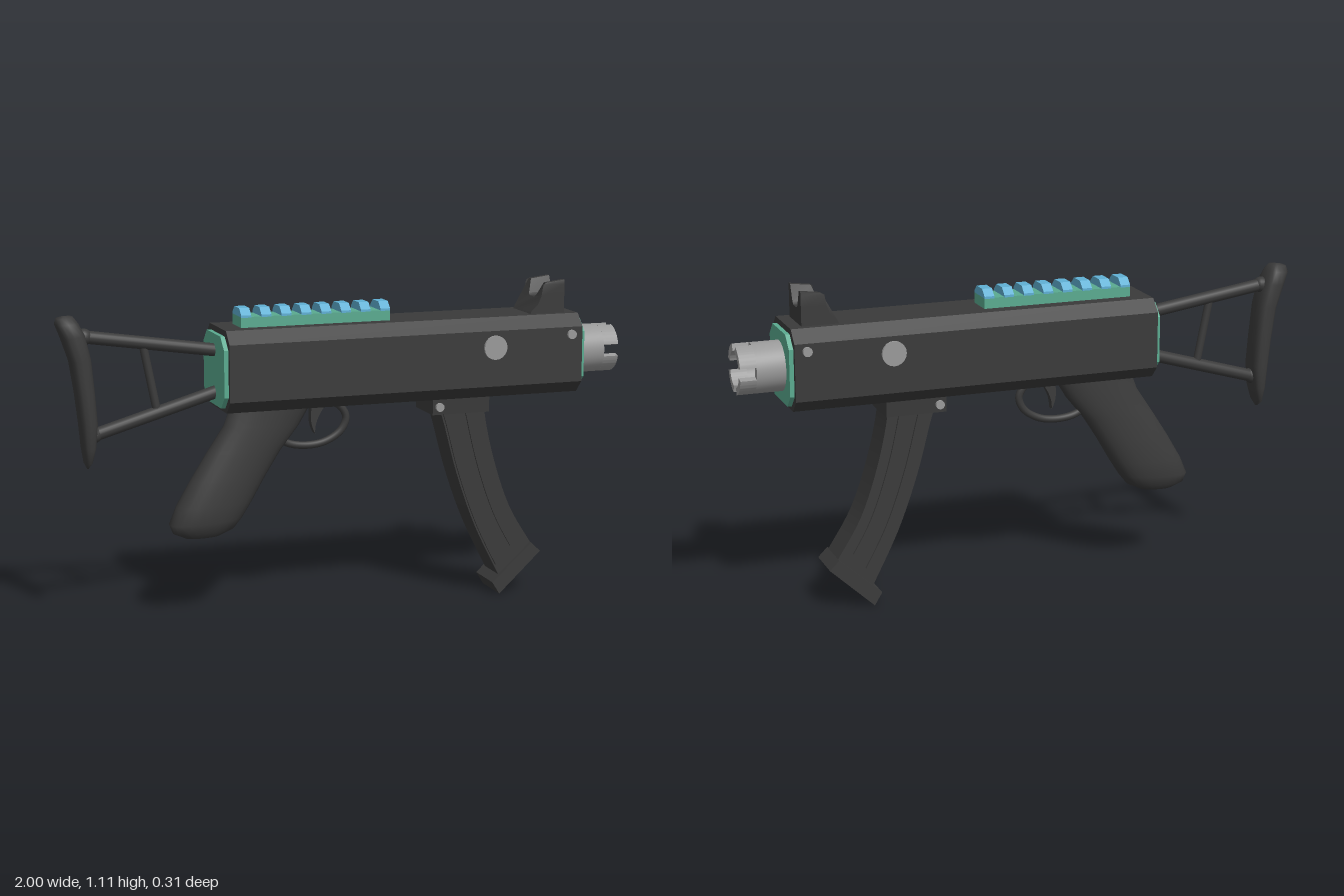
import * as THREE from 'three';
import { toCreasedNormals } from 'three/addons/utils/BufferGeometryUtils.js';

const V2 = (x, y) => new THREE.Vector2(x, y);
const V3 = (x, y, z = 0) => new THREE.Vector3(x, y, z);

export function createModel() {
  const model = new THREE.Group();
  const mat = (name, color) => {
    const m = new THREE.MeshStandardMaterial({ color });
    m.name = name;
    return m;
  };
  const black = mat('charcoal', 0x3a3a3a);
  const green = mat('seaGreen', 0x5aab90);
  const blue = mat('skyBlue', 0x5fb0d4);
  const metal = mat('steel', 0x999999);

  const add = (name, geo, material) => {
    const m = new THREE.Mesh(geo, material);
    m.name = name;
    model.add(m);
    return m;
  };
  const shapeOf = (pts) => new THREE.Shape(pts.map((p) => V2(p[0], p[1])));

  // Extrude a z-y section along x, from x0 to x1
  const alongX = (shape, x0, x1, curveSegments = 12) => {
    const g = new THREE.ExtrudeGeometry(shape, { depth: x1 - x0, bevelEnabled: false, curveSegments });
    return toCreasedNormals(g.rotateY(Math.PI / 2).translate(x0, 0, 0), 0.6);
  };
  // Extrude an x-y profile symmetrically about z = 0
  const acrossZ = (shape, half) => {
    const g = new THREE.ExtrudeGeometry(shape, { depth: 2 * half, bevelEnabled: false });
    return toCreasedNormals(g.translate(0, 0, -half), 0.6);
  };
  // Eight-sided section with cut corners
  const octagon = (w, y0, y1, c) => shapeOf([
    [-w, y0 + c], [-w + c, y0], [w - c, y0], [w, y0 + c],
    [w, y1 - c], [w - c, y1], [-w + c, y1], [-w, y1 - c]]);

  // Smooth body through rings given top to bottom as [leftX, leftY, rightX, rightY, halfDepth]
  const loft = (rings, n = 20, power = 0.85) => {
    const pos = [], idx = [];
    const pw = (v) => Math.sign(v) * Math.abs(v) ** power;
    rings.forEach(([lx, ly, rx, ry, hz], r) => {
      for (let i = 0; i < n; i++) {
        const a = (i / n) * Math.PI * 2, c = pw(Math.cos(a));
        pos.push((lx + rx) / 2 + c * (rx - lx) / 2, (ly + ry) / 2 + c * (ry - ly) / 2, hz * pw(Math.sin(a)));
        if (r === rings.length - 1) continue;
        const p = r * n + i, q = r * n + (i + 1) % n;
        idx.push(p, q, p + n, q, q + n, p + n);
      }
    });
    const g = new THREE.BufferGeometry();
    g.setAttribute('position', new THREE.Float32BufferAttribute(pos, 3));
    g.setIndex(idx);
    g.computeVertexNormals();
    return g;
  };

  // Straight round rod between two points
  const rod = (name, a, b, r, material = black) => {
    const m = add(name, new THREE.CylinderGeometry(r, r, a.distanceTo(b), 20), material);
    m.position.copy(a).add(b).multiplyScalar(0.5);
    m.quaternion.setFromUnitVectors(V3(0, 1, 0), b.clone().sub(a).normalize());
  };

  // Receiver and end plates
  add('receiver', alongX(octagon(0.14, 0.722, 1.0, 0.042), -0.447, 0.832), black);
  add('rearPlate', alongX(octagon(0.125, 0.737, 0.98, 0.042), -0.462, -0.447), green);
  add('frontPlate', alongX(octagon(0.125, 0.737, 0.98, 0.042), 0.832, 0.847), green);

  // Hollow muzzle with four slots at its tip
  const ring = new THREE.Shape().absarc(0, 0.857, 0.085, 0, Math.PI * 2);
  ring.holes.push(new THREE.Path().absarc(0, 0.857, 0.061, 0, Math.PI * 2, true));
  add('muzzle', alongX(ring, 0.84, 0.945, 20), metal);
  for (let k = 0; k < 4; k++) {
    const a0 = k * Math.PI / 2 + 0.25, a1 = (k + 1) * Math.PI / 2 - 0.25;
    const prong = new THREE.Shape();
    prong.absarc(0, 0.857, 0.085, a0, a1, false);
    prong.absarc(0, 0.857, 0.061, a1, a0, true);
    add('muzzleProng', alongX(prong, 0.945, 1.0, 10), metal);
  }

  // Top rail with chamfered teeth
  add('railBase', new THREE.BoxGeometry(0.53, 0.036, 0.1).translate(-0.115, 1.018, 0), green);
  for (let i = 0; i < 8; i++) {
    const x = -0.38 + i * 0.0707;
    add('railTooth', alongX(shapeOf([[-0.052, 1.034], [0.052, 1.034], [0.052, 1.042],
      [0.028, 1.064], [-0.028, 1.064], [-0.052, 1.042]]), x, x + 0.035), blue);
  }

  // Notched sight whose back face sweeps forward with height
  const half = [[0.075, 0.995], [0.075, 1.012], [0.075, 1.03], [0.075, 1.06], [0.075, 1.1], [0.073, 1.115],
    [0.055, 1.115], [0.031, 1.06], [0.02, 1.052]];
  const mirrored = half.map(([z, y]) => [-z, y]).reverse();
  const sight = new THREE.ExtrudeGeometry(shapeOf([...half, ...mirrored]), { depth: 1, bevelEnabled: false });
  sight.rotateY(Math.PI / 2);
  const sp = sight.attributes.position;
  const sweep = [[0.995, 0.66], [1.012, 0.668], [1.03, 0.69], [1.06, 0.703], [1.1, 0.71], [1.116, 0.79]];
  for (let i = 0; i < sp.count; i++) {
    const y = sp.getY(i);
    let k = 0;
    while (k < 4 && y > sweep[k + 1][0]) k++;
    const t = (y - sweep[k][0]) / (sweep[k + 1][0] - sweep[k][0]);
    const back = Math.min(0.72, THREE.MathUtils.lerp(sweep[k][1], sweep[k + 1][1], t));
    const tip = y > 1.11 && sp.getX(i) < 0.5 ? -0.009 : 0;
    sp.setXYZ(i, sp.getX(i) < 0.5 ? back : 0.79, y + tip, sp.getZ(i));
  }
  add('sight', toCreasedNormals(sight, 0.5), black);

  // Cross pins, with wide heads on the middle one
  const pin = (name, x, y, r, z) => rod(name, V3(x, y, -z), V3(x, y, z), r, metal);
  pin('boltStem', 0.5, 0.902, 0.02, 0.152);
  for (const s of [-1, 1]) rod('boltHead', V3(0.5, 0.902, s * 0.148), V3(0.5, 0.902, s * 0.157), 0.042, metal);
  pin('frontPin', 0.79, 0.932, 0.016, 0.151);
  pin('magazinePin', 0.322, 0.693, 0.015, 0.093);

  // Magazine well
  add('magazineWell', alongX(shapeOf([[-0.08, 0.665], [0.08, 0.665], [0.084, 0.73], [-0.084, 0.73]]), 0.298, 0.508), black);

  // Curved magazine: strips are taken between its rear and front edges
  const rear = new THREE.CatmullRomCurve3([V3(0.325, 0.7), V3(0.345, 0.64), V3(0.395, 0.456), V3(0.465, 0.262), V3(0.565, 0.06)]);
  const front = new THREE.CatmullRomCurve3([V3(0.497, 0.7), V3(0.5, 0.66), V3(0.535, 0.5), V3(0.6, 0.315), V3(0.69, 0.165)]);
  const strip = (f0, f1, t1) => {
    const edge = (f) => Array.from({ length: 17 }, (_, i) => {
      const t = t1 * i / 16;
      const p = rear.getPointAt(t).lerp(front.getPointAt(t), f);
      return [p.x, p.y];
    });
    return shapeOf([...edge(f0), ...edge(f1).reverse()]);
  };
  add('magazine', acrossZ(strip(0, 1, 1), 0.06), black);
  add('magazineRearRib', acrossZ(strip(0.04, 0.34, 0.93), 0.067), black);
  add('magazineFrontRib', acrossZ(strip(0.55, 0.76, 0.9), 0.067), black);
  add('magazineFoot', acrossZ(shapeOf([[0.533, 0.045], [0.56, 0.001], [0.715, 0.145], [0.682, 0.178]]), 0.075), black);

  // Pistol grip
  add('grip', loft([
    [-0.40, 0.74, -0.11, 0.74, 0.046], [-0.43, 0.66, -0.165, 0.65, 0.05],
    [-0.49, 0.57, -0.23, 0.57, 0.055], [-0.55, 0.476, -0.285, 0.485, 0.06],
    [-0.6, 0.39, -0.335, 0.4, 0.065], [-0.625, 0.33, -0.37, 0.345, 0.063],
    [-0.613, 0.3, -0.4, 0.308, 0.053], [-0.57, 0.281, -0.45, 0.285, 0.032],
    [-0.515, 0.277, -0.505, 0.277, 0.002]], 24), black);

  // Trigger and guard
  const guardPath = new THREE.CatmullRomCurve3([V3(-0.25, 0.635), V3(-0.215, 0.592), V3(-0.15, 0.575), V3(-0.07, 0.583),
    V3(-0.01, 0.62), V3(0.008, 0.665), V3(-0.015, 0.705), V3(-0.07, 0.728)]);
  add('triggerGuard', new THREE.TubeGeometry(guardPath, 40, 0.013, 10), black);
  const trig = new THREE.Shape();
  trig.moveTo(-0.115, 0.73);
  trig.quadraticCurveTo(-0.135, 0.66, -0.108, 0.615);
  trig.quadraticCurveTo(-0.112, 0.67, -0.055, 0.73);
  add('trigger', acrossZ(trig, 0.014), black);

  // Skeleton stock
  add('buttPad', loft([
    [-0.972, 1.063, -0.96, 1.063, 0.004], [-0.995, 1.055, -0.94, 1.06, 0.03], [-1.0, 1.035, -0.925, 1.04, 0.045],
    [-0.982, 0.99, -0.905, 1.0, 0.053], [-0.955, 0.91, -0.886, 0.92, 0.053], [-0.938, 0.8, -0.875, 0.8, 0.053],
    [-0.927, 0.7, -0.868, 0.7, 0.053], [-0.92, 0.62, -0.875, 0.62, 0.048], [-0.912, 0.565, -0.888, 0.57, 0.034],
    [-0.904, 0.547, -0.898, 0.547, 0.004]], 16, 0.7), black);
  rod('upperStockRod', V3(-0.93, 0.994), V3(-0.45, 0.922), 0.022);
  rod('lowerStockRod', V3(-0.89, 0.655), V3(-0.45, 0.782), 0.022);
  rod('stockStrut', V3(-0.706, 0.955), V3(-0.662, 0.73), 0.014);
  for (const [x, y] of [[-0.905, 0.99], [-0.878, 0.66]])
    add('stockRodEnd', new THREE.SphereGeometry(0.028, 16, 12).translate(x, y, 0), black);

  return model;
}
